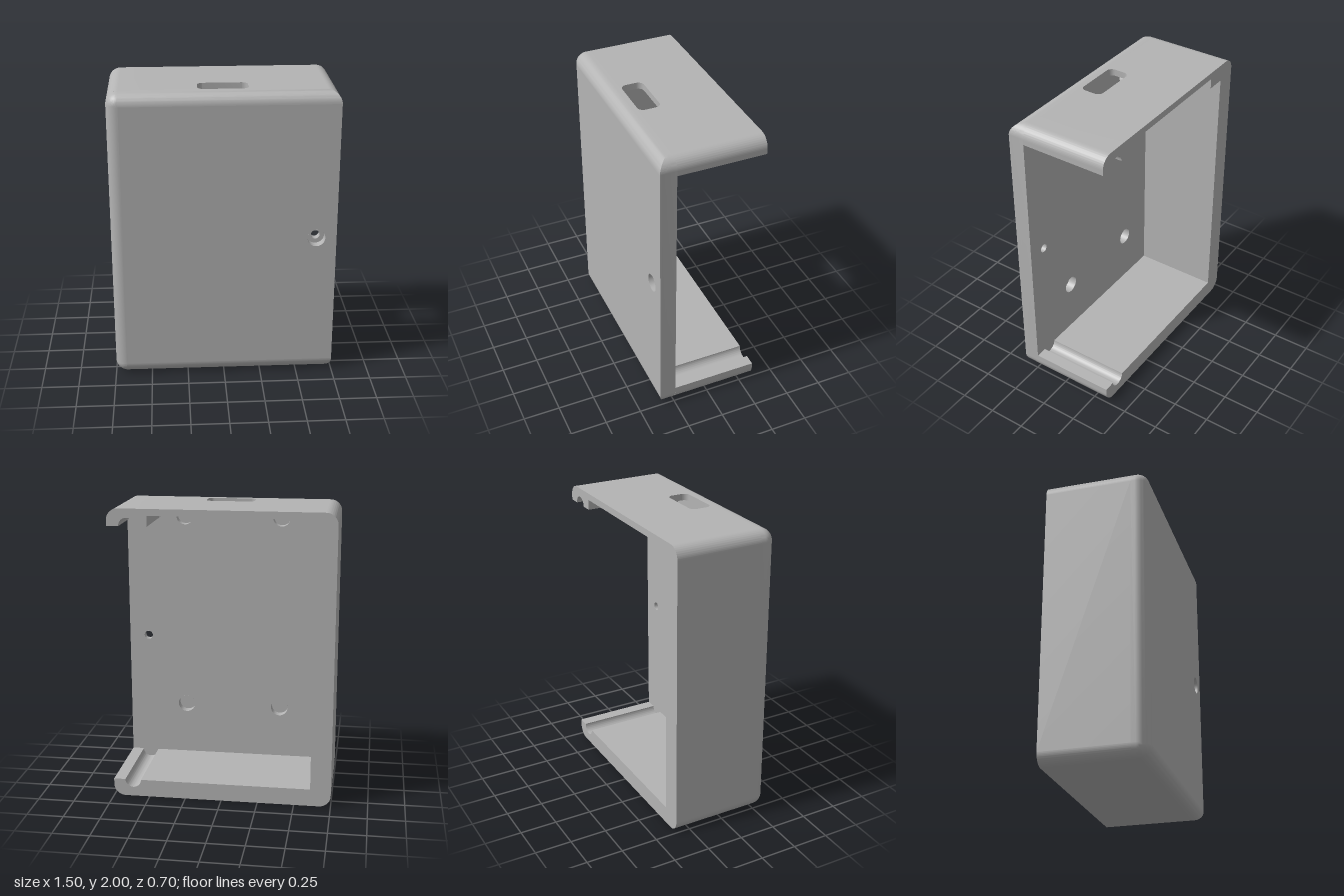
import * as THREE from 'three';
import { toCreasedNormals } from 'three/addons/utils/BufferGeometryUtils.js';

const W = 0.75, H = 2, BACK = -0.35, INNER = 0.24, FRONT = 0.35, R = 0.08;
const FLOOR = 0.12, CEIL = 1.885, POCKET = 0.48, POCKET_TOP = 1.955, WALL = -0.61;
const PIN_X = 0.615, PIN_R = 0.055, PIN_HOLE = 0.03, BORE = 0.06, BORE_Z = 0.29;
const SOCKETS = [[0.34, 0.49], [-0.34, 0.49], [0.34, 1.87], [-0.34, 1.87]];
const SOCKET_R = 0.06, SOCKET_Z = 0.3;

// Outline of the front plate, inset by d on every side but the open one (+x)
function outline(d, n = 12) {
  const pts = [], r = R - d;
  const arc = (cx, cy, rad, a, b) => {
    for (let i = 0; i <= n; i++) {
      const t = a + (b - a) * i / n;
      pts.push(new THREE.Vector2(cx + rad * Math.cos(t), cy + rad * Math.sin(t)));
    }
  };
  const phi = Math.asin(Math.max(0, r / R));
  arc(W - R, R, R, -phi, 0);
  arc(W - R, H - R, R, 0, phi);
  arc(-W + R, H - R, r, Math.PI / 2, Math.PI);
  arc(-W + R, R, r, Math.PI, Math.PI * 1.5);
  return pts;
}

function circle(x, y, r) {
  const p = new THREE.Path();
  p.absarc(x, y, r, 0, Math.PI * 2, true);
  return p;
}

// Side skin of the front plate with its rounded front edge
function rimGeometry() {
  const rings = [{ z: INNER, pts: outline(0) }];
  for (let i = 0; i <= 12; i++) {
    const t = (i / 12) * Math.PI / 2;
    rings.push({ z: FRONT - R + R * Math.sin(t), pts: outline(R * (1 - Math.cos(t))) });
  }
  const pos = [];
  for (let k = 0; k < rings.length - 1; k++) {
    const a = rings[k], b = rings[k + 1], n = a.pts.length;
    for (let i = 0; i < n; i++) {
      const j = (i + 1) % n;
      const v = [[a, i], [a, j], [b, j], [a, i], [b, j], [b, i]];
      for (const [ring, q] of v) pos.push(ring.pts[q].x, ring.pts[q].y, ring.z);
    }
  }
  const g = new THREE.BufferGeometry();
  g.setAttribute('position', new THREE.Float32BufferAttribute(pos, 3));
  return toCreasedNormals(g, 0.5);
}

export function createModel() {
  const model = new THREE.Group();
  model.name = 'enclosure';
  const grey = new THREE.MeshStandardMaterial({ color: 0xb4b4b4, side: THREE.DoubleSide });
  grey.name = 'grey plastic';

  const add = (name, geo, parent = model) => {
    const m = new THREE.Mesh(geo, grey);
    m.name = name;
    parent.add(m);
    return m;
  };
  const extrude = (shape, depth) => toCreasedNormals(
    new THREE.ExtrudeGeometry(shape, { depth, bevelEnabled: false, curveSegments: 14 }), 0.5);

  // Left wall, floor with pin groove, and left end of the top
  const c = new THREE.Shape();
  c.moveTo(-POCKET, H);
  c.lineTo(-W + R, H);
  c.absarc(-W + R, H - R, R, Math.PI / 2, Math.PI, false);
  c.absarc(-W + R, R, R, Math.PI, Math.PI * 1.5, false);
  c.absarc(W - R, R, R, -Math.PI / 2, 0, false);
  c.lineTo(W, FLOOR);
  c.absarc(PIN_X, FLOOR, PIN_R, 0, Math.PI, true);
  c.lineTo(WALL, FLOOR);
  c.lineTo(WALL, CEIL);
  c.lineTo(-POCKET, CEIL);
  c.closePath();
  add('wallAndFloor', extrude(c, INNER - BACK)).position.z = BACK;

  // Right end of the top with the matching groove
  const b = new THREE.Shape();
  b.moveTo(POCKET, H);
  b.lineTo(POCKET, CEIL);
  b.absarc(PIN_X, CEIL, PIN_R, Math.PI, 0, true);
  b.lineTo(W, CEIL);
  b.absarc(W - R, H - R, R, 0, Math.PI / 2, false);
  b.closePath();
  add('topEndBlock', extrude(b, INNER - BACK)).position.z = BACK;

  // Thin top web with the rounded slot (shape y is -z)
  const t = new THREE.Shape();
  t.moveTo(-POCKET, -INNER);
  t.lineTo(POCKET, -INNER);
  t.lineTo(POCKET, -BACK);
  t.lineTo(-POCKET, -BACK);
  t.closePath();
  const sx = 0.165, y0 = -0.235, y1 = -0.085, sr = 0.04;
  const slot = new THREE.Path();
  slot.absarc(sx - sr, y1 - sr, sr, 0, Math.PI / 2, false);
  slot.absarc(-sx + sr, y1 - sr, sr, Math.PI / 2, Math.PI, false);
  slot.absarc(-sx + sr, y0 + sr, sr, Math.PI, Math.PI * 1.5, false);
  slot.absarc(sx - sr, y0 + sr, sr, -Math.PI / 2, 0, false);
  slot.closePath();
  t.holes.push(slot);
  const web = add('topWeb', extrude(t, H - POCKET_TOP));
  web.rotation.x = -Math.PI / 2;
  web.position.y = POCKET_TOP;

  // Front plate: rounded rim, outer face and inner face
  const plate = new THREE.Group();
  plate.name = 'frontPlate';
  model.add(plate);
  add('plateRim', rimGeometry(), plate);
  const outer = new THREE.Shape([
    new THREE.Vector2(W, R), new THREE.Vector2(W, H - R),
    new THREE.Vector2(-W + R, H - R), new THREE.Vector2(-W + R, R)]);
  outer.holes.push(circle(PIN_X, 1, BORE));
  add('outerFace', new THREE.ShapeGeometry(outer, 32), plate).position.z = FRONT;
  const inner = new THREE.Shape(outline(0));
  inner.holes.push(circle(PIN_X, 1, PIN_HOLE));
  for (const [x, y] of SOCKETS) inner.holes.push(circle(x, y, SOCKET_R));
  const back = add('innerFace', new THREE.ShapeGeometry(inner, 32).scale(-1, 1, 1), plate);
  back.geometry.dispose();
  const innerGeo = new THREE.ShapeGeometry(inner, 32);
  innerGeo.index.array.reverse();
  innerGeo.computeVertexNormals();
  back.geometry = innerGeo;
  back.position.z = INNER;

  // Hole walls and floors
  const tube = (name, x, y, r, z0, z1) => {
    const g = new THREE.CylinderGeometry(r, r, z1 - z0, 32, 1, true).rotateX(Math.PI / 2);
    add(name, g, plate).position.set(x, y, (z0 + z1) / 2);
  };
  tube('screwHole', PIN_X, 1, PIN_HOLE, INNER, BORE_Z);
  tube('screwCounterbore', PIN_X, 1, BORE, BORE_Z, FRONT);
  add('counterboreFloor', new THREE.RingGeometry(PIN_HOLE, BORE, 32), plate)
    .position.set(PIN_X, 1, BORE_Z);
  for (const [x, y] of SOCKETS) {
    tube('socketWall', x, y, SOCKET_R, INNER, SOCKET_Z);
    const f = add('socketFloor', new THREE.CircleGeometry(SOCKET_R, 32), plate);
    f.rotation.y = Math.PI;
    f.position.set(x, y, SOCKET_Z);
  }
  return model;
}
